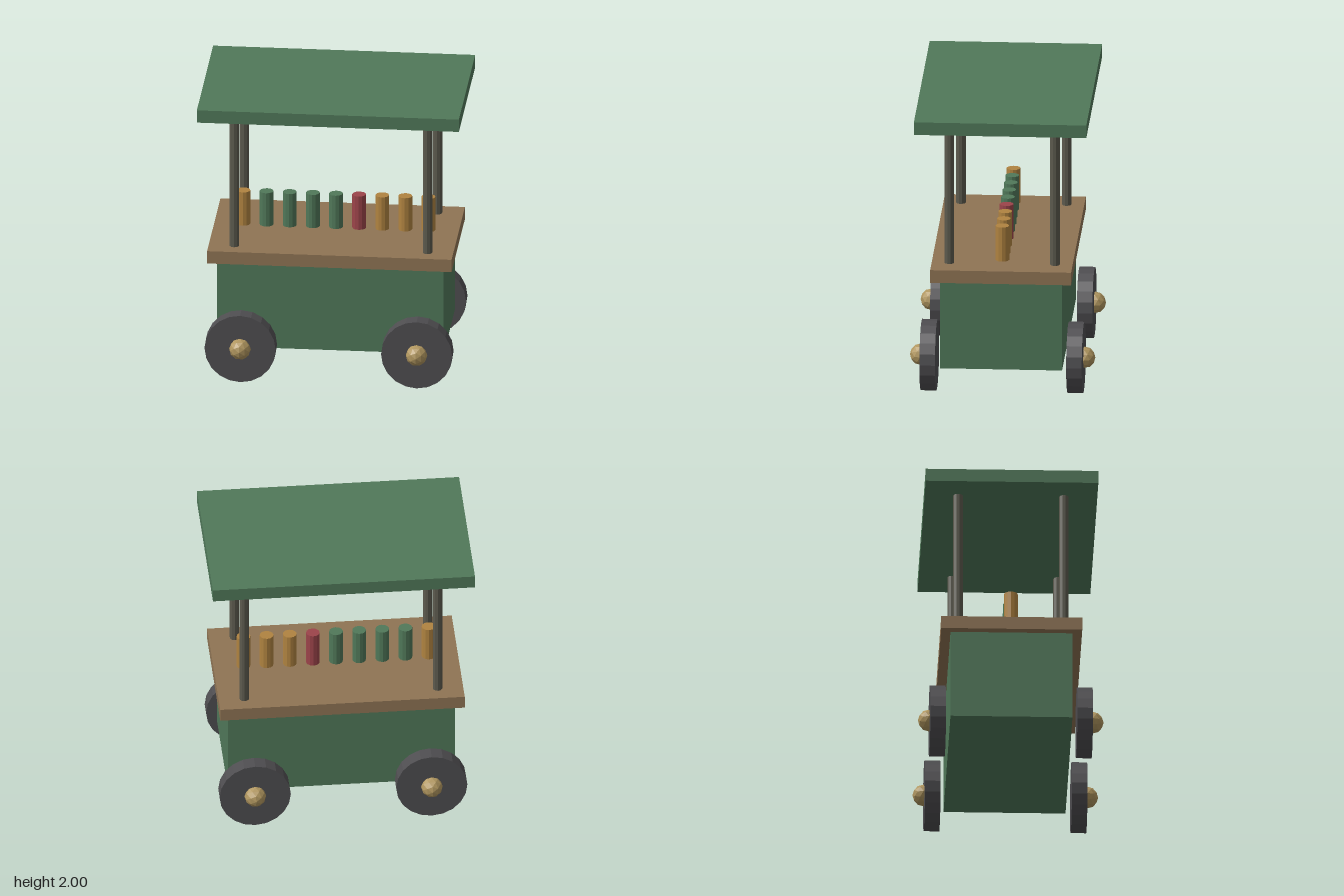
import * as THREE from 'three';

const mat = (name, color) => {
  const m = new THREE.MeshStandardMaterial({ color, flatShading: true });
  m.name = name;
  return m;
};

export function createModel() {
  const green = mat('green paint', 0x507859);
  const wood = mat('wood', 0x8f7454);
  const metal = mat('post metal', 0x5c5a4e);
  const rubber = mat('dark wheel', 0x4e4d50);
  const brass = mat('brass', 0xb0965f);
  const ochre = mat('ochre', 0xb08340);
  const red = mat('red', 0x9c444a);

  const cart = new THREE.Group();
  cart.name = 'marketCart';
  const add = (name, geometry, material, x, y, z) => {
    const mesh = new THREE.Mesh(geometry, material);
    mesh.name = name;
    mesh.position.set(x, y, z);
    cart.add(mesh);
    return mesh;
  };

  // Body, counter and roof slabs
  add('body', new THREE.BoxGeometry(1.55, 0.63, 0.83), green, 0, 0.52, 0);
  add('counter', new THREE.BoxGeometry(1.67, 0.09, 0.96), wood, 0, 0.88, 0);
  add('roof', new THREE.BoxGeometry(1.79, 0.09, 1.175), green, 0, 1.955, 0);

  // Four corners: roof post, wheel and hub
  const post = new THREE.CylinderGeometry(0.033, 0.033, 0.99, 10);
  const wheel = new THREE.CylinderGeometry(0.243, 0.243, 0.106, 20).rotateX(Math.PI / 2);
  const hub = new THREE.IcosahedronGeometry(0.074, 1);
  for (const sx of [-1, 1]) {
    for (const sz of [-1, 1]) {
      add('roofPost', post, metal, sx * 0.66, 1.418, sz * 0.36);
      add('wheel', wheel, rubber, sx * 0.603, 0.245, sz * 0.5);
      add('wheelHub', hub, brass, sx * 0.603, 0.247, sz * 0.558);
    }
  }

  // Row of jars just above the counter
  const jar = new THREE.CylinderGeometry(0.047, 0.047, 0.244, 12);
  [ochre, green, green, green, green, red, ochre, ochre, ochre].forEach((m, i) => {
    add('jar', jar, m, (i - 4) * 0.158, 1.066, 0);
  });

  return cart;
}
